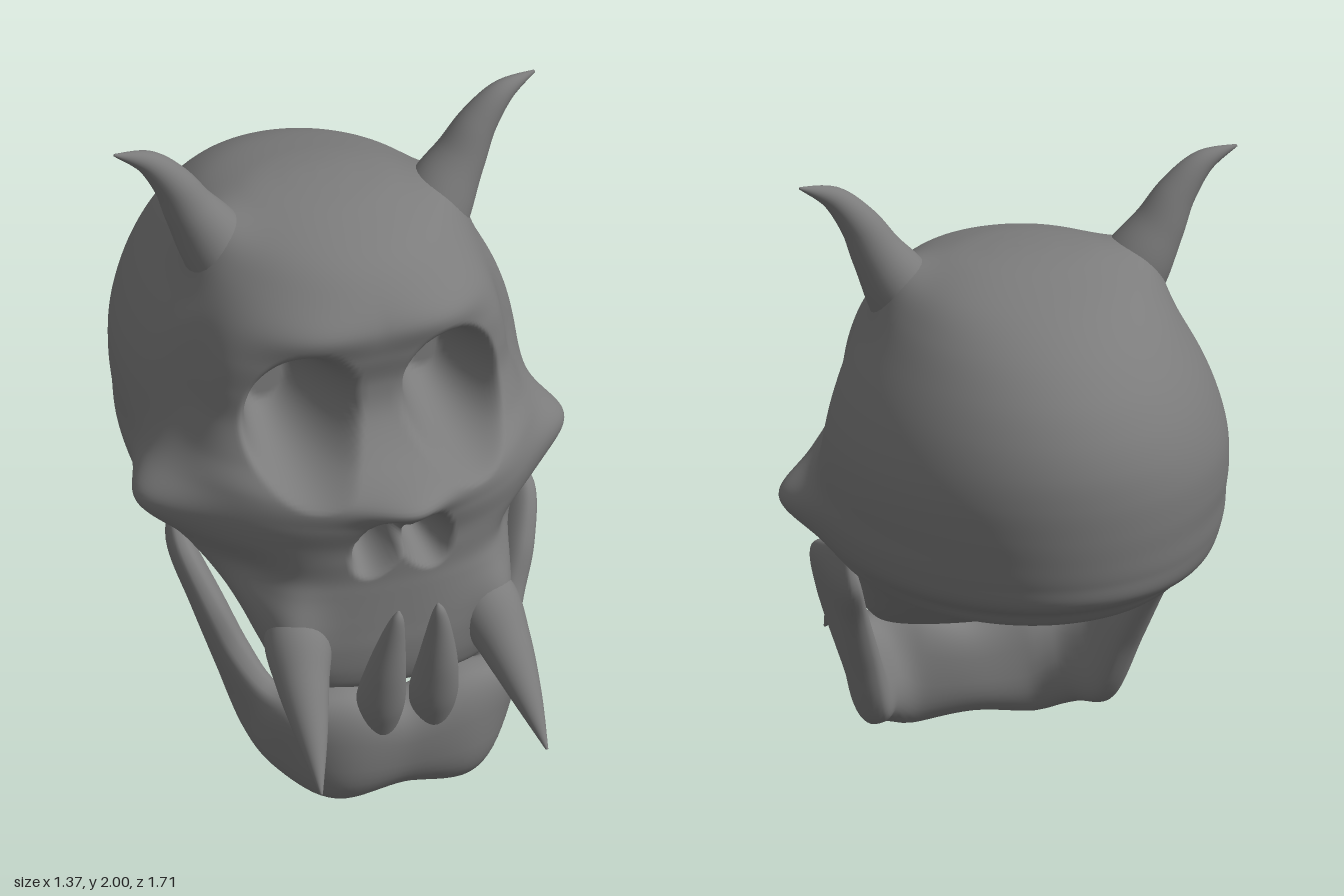
import * as THREE from 'three';

const material = new THREE.MeshStandardMaterial({ color: 0x7c7c7c, side: THREE.DoubleSide });
const V = (x, y, z) => new THREE.Vector3(x, y, z);

// Skin a list of equal rings into a closed smooth surface facing outwards.
function loft(name, rings) {
  const n = rings[0].length, pos = [], idx = [];
  rings.forEach(r => r.forEach(p => pos.push(p.x, p.y, p.z)));
  for (let i = 0; i < rings.length - 1; i++) {
    for (let j = 0; j < n; j++) {
      const a = i * n + j, b = i * n + (j + 1) % n;
      idx.push(a, b, a + n, b, b + n, a + n);
    }
  }
  [0, rings.length - 1].forEach((i, end) => {
    const c = rings[i].reduce((s, p) => s.add(p), V(0, 0, 0)).divideScalar(n);
    const k = pos.length / 3;
    pos.push(c.x, c.y, c.z);
    for (let j = 0; j < n; j++) {
      const a = i * n + j, b = i * n + (j + 1) % n;
      if (end) idx.push(a, b, k); else idx.push(b, a, k);
    }
  });
  const at = i => V(pos[3 * i], pos[3 * i + 1], pos[3 * i + 2]);
  let volume = 0;
  for (let i = 0; i < idx.length; i += 3) volume += at(idx[i]).dot(at(idx[i + 1]).cross(at(idx[i + 2])));
  if (volume < 0) idx.reverse();
  const g = new THREE.BufferGeometry();
  g.setAttribute('position', new THREE.Float32BufferAttribute(pos, 3));
  g.setIndex(idx);
  g.computeVertexNormals();
  const mesh = new THREE.Mesh(g, material);
  mesh.name = name;
  return mesh;
}

// Smooth interpolation through the rows of a table, t from 0 to 1.
function sample(rows, t) {
  const f = t * (rows.length - 1), i = Math.min(Math.floor(f), rows.length - 2), u = f - i;
  const row = k => rows[Math.max(0, Math.min(rows.length - 1, k))];
  return rows[0].map((_, c) => {
    const a = row(i - 1)[c], b = row(i)[c], d = row(i + 1)[c], e = row(i + 2)[c];
    return b + 0.5 * u * (d - a + u * (2 * a - 5 * b + 4 * d - e + u * (3 * (b - d) + e - a)));
  });
}

// Tapered curved spike; rows are x, y, z, radius.
function spike(name, rows, side) {
  const rings = [], steps = 32, sides = 28;
  const point = t => { const p = sample(rows, t); return V(p[0] * side, p[1], p[2]); };
  for (let i = 0; i <= steps; i++) {
    const t = i / steps, r = Math.max(0.003, sample(rows, t)[3]);
    const dir = point(Math.min(1, t + 0.01)).sub(point(Math.max(0, t - 0.01))).normalize();
    const u = V(0, 0, 1).cross(dir).normalize(), w = dir.clone().cross(u);
    rings.push(Array.from({ length: sides }, (_, j) => {
      const a = j / sides * Math.PI * 2;
      return point(t).addScaledVector(u, r * Math.cos(a)).addScaledVector(w, r * Math.sin(a));
    }));
  }
  return loft(name, rings);
}

// Horizontal sections: y, half width, z of widest point, front z, back z, front squareness
const skullRows = [
  [0.36, 0.10, 0.50, 0.54, 0.44, 2], [0.365, 0.27, 0.46, 0.57, 0.38, 2.6],
  [0.42, 0.34, 0.43, 0.59, 0.27, 2.6], [0.50, 0.38, 0.39, 0.60, 0.12, 2.5],
  [0.57, 0.41, 0.34, 0.60, 0, 2.5], [0.63, 0.44, 0.28, 0.60, -0.12, 2.4],
  [0.69, 0.48, 0.18, 0.60, -0.36, 2.3], [0.74, 0.52, 0.10, 0.60, -0.60, 2.2],
  [0.80, 0.56, 0.04, 0.605, -0.67, 2.2], [0.86, 0.59, 0.02, 0.61, -0.79, 2.2],
  [0.94, 0.61, 0, 0.635, -0.82, 2.1], [1.02, 0.61, -0.03, 0.64, -0.835, 2],
  [1.10, 0.61, -0.07, 0.52, -0.845, 2.2], [1.20, 0.60, -0.10, 0.43, -0.85, 2.5],
  [1.30, 0.575, -0.10, 0.41, -0.84, 2.7], [1.40, 0.535, -0.10, 0.43, -0.805, 2.6],
  [1.50, 0.48, -0.10, 0.44, -0.74, 2.4], [1.60, 0.415, -0.10, 0.38, -0.63, 2.2],
  [1.68, 0.34, -0.10, 0.28, -0.48, 2.1], [1.735, 0.23, -0.10, 0.12, -0.29, 2],
  [1.755, 0.11, -0.10, 0, -0.18, 2], [1.76, 0.01, -0.10, -0.09, -0.11, 2],
];

// Soft swellings and hollows: centre, radii, push
const bumps = [
  [[0.60, 0.92, 0.18], [0.2, 0.10, 0.15], [0.10, 0, 0]],       // cheekbone
  [[0.53, 1.25, 0.15], [0.2, 0.22, 0.12], [-0.05, 0, 0]],      // temple
  [[0.22, 1.50, 0.38], [0.16, 0.06, 0.2], [0, 0, 0.02]],       // brow
  [[0, 1.01, 0.64], [0.12, 0.06, 0.2], [0, 0, 0.065]],         // nose bridge
  [[0.44, 0.74, 0.40], [0.10, 0.08, 0.15], [-0.02, 0, -0.03]], // below the cheek
  [[0.32, 0.56, 0.50], [0.08, 0.12, 0.12], [0.02, 0, 0.04]],   // fang root
  [[0.37, 1.64, -0.03], [0.12, 0.10, 0.13], [0.02, 0.05, 0]],  // horn root
];

// Cavities: centre x, y, radii, tilt, floor z
const cavities = [
  [0.245, 1.225, 0.175, 0.225, 0.25, 0.10], // eye socket
  [0.075, 0.865, 0.080, 0.125, 0.40, 0.42], // nostril
];

function shapeSkull(p) {
  const side = p.x < 0 ? -1 : 1, q = V(Math.abs(p.x), p.y, p.z), o = q.clone();
  for (const [c, r, d] of bumps) {
    const e = ((o.x - c[0]) / r[0]) ** 2 + ((o.y - c[1]) / r[1]) ** 2 + ((o.z - c[2]) / r[2]) ** 2;
    q.addScaledVector(V(...d), Math.exp(-e));
  }
  for (const [cx, cy, rx, ry, tilt, floor] of cavities) {
    if (o.z < 0.1) continue;
    const dx = o.x - cx, dy = o.y - cy, c = Math.cos(tilt), s = Math.sin(tilt);
    const d = Math.hypot((dx * c + dy * s) / rx, (dy * c - dx * s) / ry);
    const k = 1 - THREE.MathUtils.smoothstep(d, 0.35, 1.03);
    q.z += Math.min(0, floor - q.z) * k;
  }
  q.x *= side;
  return q;
}

function buildSkull() {
  const rings = [], levels = 168, around = 288;
  for (let i = 0; i <= levels; i++) {
    const [y, w, zc, zf, zb, n] = sample(skullRows, i / levels);
    rings.push(Array.from({ length: around }, (_, j) => {
      const a = j / around * Math.PI * 2, c = Math.cos(a), s = Math.sin(a);
      const e = s > 0 ? 2 / n : 1;
      const x = w * Math.sign(c) * Math.abs(c) ** e;
      const z = zc + (s > 0 ? zf - zc : zc - zb) * Math.sign(s) * Math.abs(s) ** e;
      return shapeSkull(V(x, y, z));
    }));
  }
  return loft('skull', rings);
}

// Jaw sections from hinge to chin: upper edge xyz, lower edge xyz, half thickness
function buildJaw() {
  const half = [
    [0.53, 0.79, 0.08, 0.51, 0.77, 0.01, 0.015], [0.555, 0.74, 0.23, 0.49, 0.65, 0, 0.04],
    [0.51, 0.60, 0.33, 0.45, 0.51, 0.10, 0.05], [0.45, 0.46, 0.38, 0.40, 0.33, 0.18, 0.055],
    [0.38, 0.36, 0.46, 0.35, 0.13, 0.26, 0.06], [0.31, 0.36, 0.55, 0.30, 0.06, 0.42, 0.085],
    [0.17, 0.37, 0.57, 0.20, 0, 0.54, 0.105],
  ];
  const mirrored = half.map(r => r.map((v, k) => (k === 0 || k === 3 ? -v : v))).reverse();
  const rows = [...half, [0, 0.31, 0.57, 0, 0.02, 0.54, 0.105], ...mirrored];
  const edges = t => { const r = sample(rows, t); return [V(r[0], r[1], r[2]), V(r[3], r[4], r[5]), r[6]]; };
  const mid = t => { const [a, b] = edges(t); return a.add(b).multiplyScalar(0.5); };
  const rings = [], steps = 112, around = 40;
  for (let i = 0; i <= steps; i++) {
    const t = i / steps, [a, b, thick] = edges(t), span = a.clone().sub(b).multiplyScalar(0.5);
    const dir = mid(Math.min(1, t + 0.02)).sub(mid(Math.max(0, t - 0.02)));
    const out = span.clone().cross(dir).normalize();
    rings.push(Array.from({ length: around }, (_, j) => {
      const g = j / around * Math.PI * 2, c = Math.cos(g), s = Math.sin(g);
      return mid(t).addScaledVector(span, Math.sign(c) * Math.abs(c) ** 0.75)
        .addScaledVector(out, thick * Math.sign(s) * Math.abs(s) ** 0.75);
    }));
  }
  return loft('lowerJaw', rings);
}

export function createModel() {
  const model = new THREE.Group();
  model.name = 'hornedSkull';
  model.add(buildSkull(), buildJaw());

  const spikes = {
    Horn: [[0.31, 1.54, -0.01, 0.12], [0.375, 1.66, -0.03, 0.105], [0.435, 1.76, -0.035, 0.08],
      [0.49, 1.86, -0.035, 0.06], [0.57, 1.95, -0.035, 0.037], [0.675, 1.995, -0.04, 0.004]],
    UpperFang: [[0.27, 0.64, 0.38, 0.05], [0.30, 0.54, 0.50, 0.10], [0.325, 0.44, 0.61, 0.08],
      [0.345, 0.32, 0.74, 0.045], [0.362, 0.2, 0.855, 0.004]],
    LowerTusk: [[0.085, 0.22, 0.60, 0.05], [0.085, 0.34, 0.63, 0.073], [0.083, 0.46, 0.67, 0.062],
      [0.075, 0.59, 0.705, 0.039], [0.067, 0.67, 0.725, 0.02], [0.063, 0.7, 0.725, 0.004]],
  };
  for (const [name, rows] of Object.entries(spikes)) {
    model.add(spike('left' + name, rows, 1), spike('right' + name, rows, -1));
  }
  return model;
}
